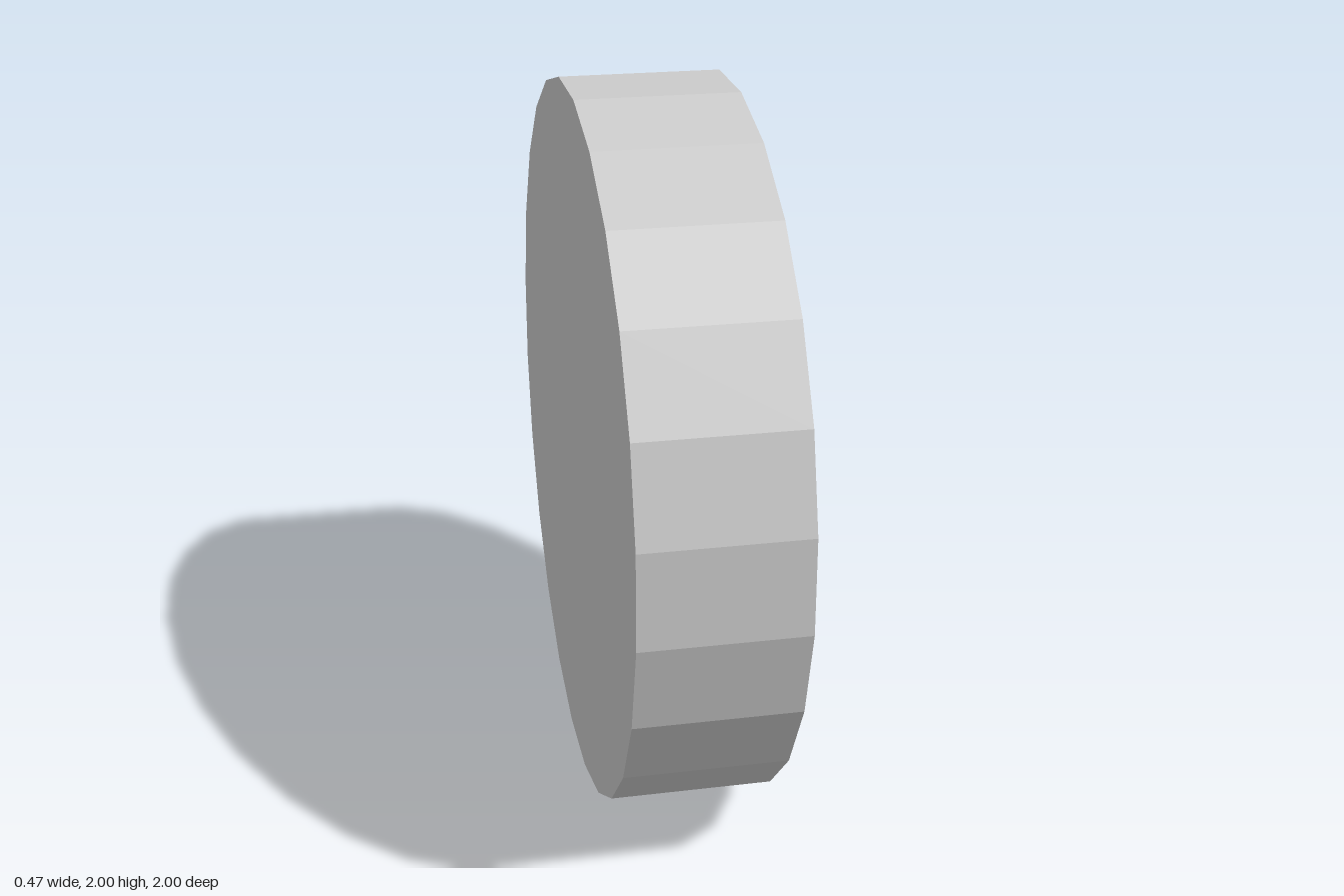
import * as THREE from 'three';

const SIDES = 24;
const HALF = 0.22;      // half of the disc's thickness
const RECESS = 0.11;    // depth of the recess

// Rings from the back centre, around the rim and into the recess floor.
// x: along the axis, r: radius, z: centre offset, turn: angle in degrees
const rings = [
  { x: -HALF, r: 0, z: 0, turn: 7 },
  { x: -HALF, r: 1.007, z: 0, turn: 7 },
  { x: HALF, r: 1.007, z: 0, turn: 7 },
  { x: HALF, r: 0.8, z: 0.08, turn: 0.6 },
  { x: HALF - RECESS, r: 0.8, z: 0.08, turn: 0.6 },
  { x: HALF - RECESS, r: 0, z: 0.08, turn: 0.6 },
];

function ringPoint({ x, r, z, turn }, k) {
  const a = THREE.MathUtils.degToRad(turn + (k * 360) / SIDES);
  return [x, r * Math.sin(a), z - r * Math.cos(a)];
}

// Joins consecutive rings into one closed faceted surface
function loft(list) {
  const pos = [];
  for (let i = 0; i < list.length - 1; i++) {
    const [from, to] = [list[i], list[i + 1]];
    for (let k = 0; k < SIDES; k++) {
      const a = ringPoint(from, k), b = ringPoint(from, k + 1);
      const c = ringPoint(to, k + 1), d = ringPoint(to, k);
      if (from.r > 0) pos.push(...a, ...b, ...c);
      if (to.r > 0) pos.push(...a, ...c, ...d);
    }
  }
  const geometry = new THREE.BufferGeometry();
  geometry.setAttribute('position', new THREE.Float32BufferAttribute(pos, 3));
  geometry.computeVertexNormals();
  return geometry;
}

export function createModel() {
  const model = new THREE.Group();
  model.name = 'recessedDisc';

  // Solid disc standing on edge, with an off-centre recess on its +x face
  const disc = new THREE.Mesh(
    loft(rings),
    new THREE.MeshStandardMaterial({ color: 0xcccccc, flatShading: true })
  );
  disc.name = 'disc';
  disc.position.y = 1;
  disc.rotation.y = -0.013; // slight turn about the upright axis
  model.add(disc);
  return model;
}
